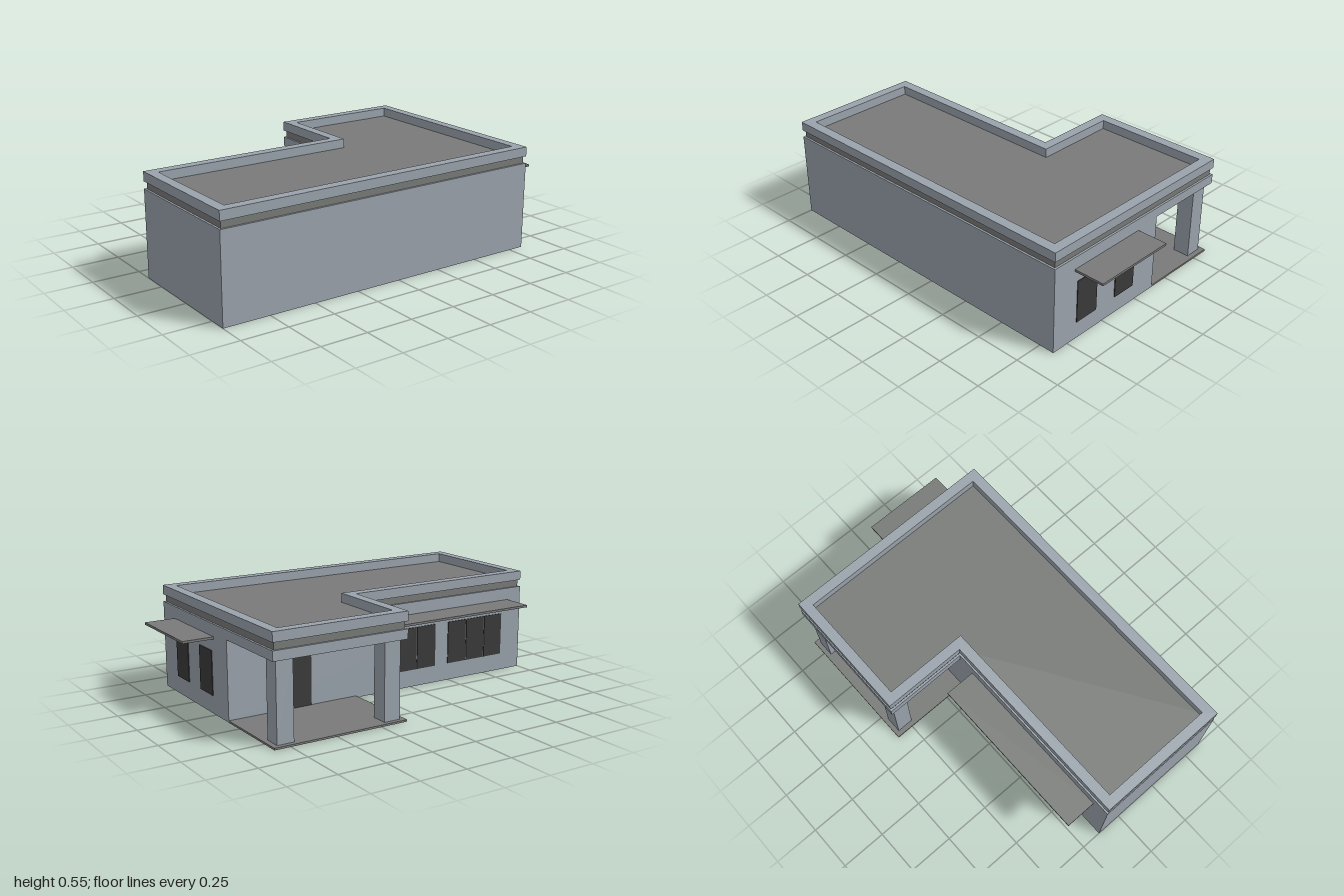
import * as THREE from 'three';

export function createModel() {
  const model = new THREE.Group();
  model.name = 'building';

  const mat = (name, color) => {
    const m = new THREE.MeshStandardMaterial({ color });
    m.name = name;
    return m;
  };
  const wall = mat('wall blue grey', 0x9aa3ac);
  const slab = mat('roof grey', 0x787a78);
  const glass = mat('dark glass', 0x3a3a3a);

  const add = (name, geometry, material) => {
    const mesh = new THREE.Mesh(geometry, material);
    mesh.name = name;
    model.add(mesh);
  };
  // Box given by its extents on each axis
  const box = (name, material, [x0, x1], [y0, y1], [z0, z1]) => {
    const g = new THREE.BoxGeometry(x1 - x0, y1 - y0, z1 - z0);
    g.translate((x0 + x1) / 2, (y0 + y1) / 2, (z0 + z1) / 2);
    add(name, g, material);
  };

  // L-shaped plan, moved inwards by d
  const plan = (d) => [
    [-1 + d, 0.597 - d], [0.835 - d, 0.597 - d], [0.835 - d, -0.597 + d],
    [0.1 + d, -0.597 + d], [0.1 + d, -0.14 + d], [-1 + d, -0.14 + d],
  ].map(([x, z]) => new THREE.Vector2(x, -z));
  const storey = (name, material, y0, y1, inset, holeInset) => {
    const shape = new THREE.Shape(plan(inset));
    if (holeInset) shape.holes.push(new THREE.Path(plan(holeInset)));
    const g = new THREE.ExtrudeGeometry(shape, { depth: y1 - y0, bevelEnabled: false });
    g.rotateX(-Math.PI / 2).translate(0, y0, 0);
    add(name, g, material);
  };

  // Main hall and the open porch behind it
  box('hall', wall, [-1, 0.835], [0, 0.465], [-0.14, 0.597]);
  box('porchBeam', wall, [0.1, 0.835], [0.415, 0.465], [-0.597, -0.14]);
  box('porchFloor', slab, [0.1, 0.835], [0, 0.01], [-0.597, -0.14]);
  for (const x of [0.127, 0.718])
    box('porchColumn', wall, [x, x + 0.09], [0.01, 0.415], [-0.572, -0.482]);

  // Recessed band with the roof deck, then the parapet
  storey('roofDeck', slab, 0.465, 0.505, 0.011);
  storey('parapet', wall, 0.503, 0.553, 0, 0.054);

  // Canopies
  box('sideCanopy', slab, [0.835, 1], [0.388, 0.4], [0, 0.46]);
  box('rearCanopy', slab, [-0.908, 0.005], [0.388, 0.4], [-0.308, -0.14]);

  // Side windows
  const sill = [0.094, 0.326];
  for (const z of [0.024, 0.3])
    box('sideWindow', glass, [0.835, 0.839], sill, [z, z + 0.14]);

  // Rear windows, three panes each
  for (const x of [-0.866, -0.408])
    for (let i = 0; i < 3; i++) {
      const left = x + i * 0.126;
      box('rearWindowPane', glass, [left, left + 0.12], sill, [-0.144, -0.14]);
    }

  // Porch door
  box('door', glass, [0.37, 0.566], [0.01, 0.326], [-0.144, -0.14]);

  return model;
}
